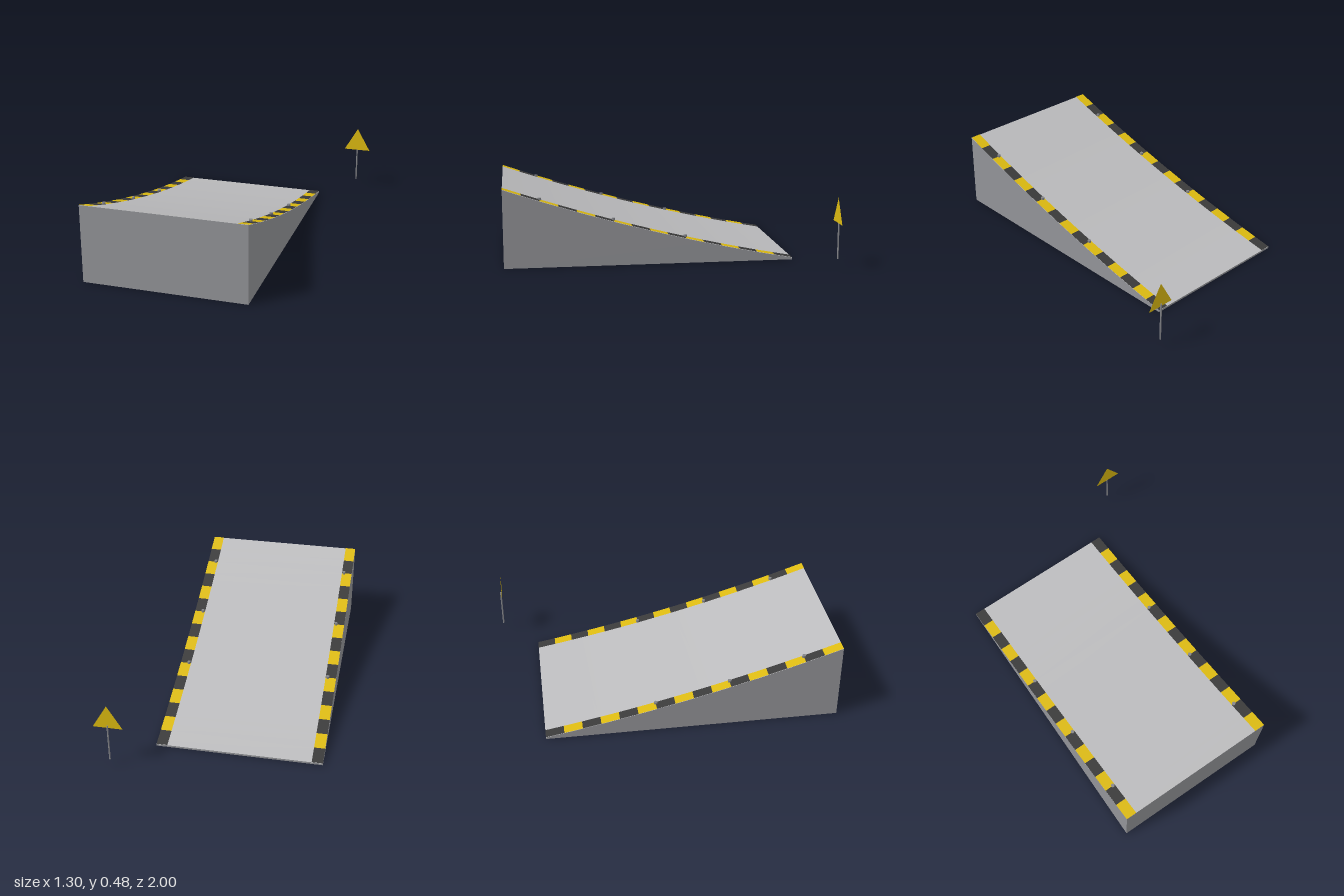
import * as THREE from 'three';

const mat = (name, color, side = THREE.FrontSide) => {
  const m = new THREE.MeshStandardMaterial({ color, side });
  m.name = name;
  return m;
};

const Z0 = -0.772, Z1 = 1, CX = -0.155, HALF = 0.498, STRIPES = 16, BAND = 0.066;

// Height of the gently curved ramp surface at depth z
const height = (z) => {
  const t = (z - Z0) / (Z1 - Z0);
  return 0.012 + 0.317 * t + 0.151 * t * t;
};

// Sheet that follows the ramp surface
function sheet(x0, x1, z0, z1, segments, lift) {
  const g = new THREE.PlaneGeometry(x1 - x0, z1 - z0, 1, segments);
  g.rotateX(-Math.PI / 2).translate((x0 + x1) / 2, 0, (z0 + z1) / 2);
  const p = g.attributes.position;
  for (let i = 0; i < p.count; i++) p.setY(i, height(p.getZ(i)) + lift);
  g.computeVertexNormals();
  return g;
}

export function createModel() {
  const deckGrey = mat('deckGrey', 0xbcbcbe, THREE.DoubleSide);
  const wallGrey = mat('wallGrey', 0x939498, THREE.DoubleSide);
  const yellow = mat('warningYellow', 0xdcba10, THREE.DoubleSide);
  const black = mat('stripeBlack', 0x3a3a3a, THREE.DoubleSide);
  const metal = mat('postMetal', 0x85868a);

  const model = new THREE.Group();
  model.name = 'ramp';
  const add = (name, geometry, material, x = 0, y = 0, z = 0) => {
    const m = new THREE.Mesh(geometry, material);
    m.name = name;
    m.position.set(x, y, z);
    model.add(m);
  };

  // Curved deck, open underneath
  add('deck', sheet(CX - HALF, CX + HALF, Z0, Z1, STRIPES, 0), deckGrey);

  // Tall front wall and the low lip at the back
  for (const [name, z] of [['frontWall', Z1], ['backLip', Z0]]) {
    const h = height(z);
    add(name, new THREE.PlaneGeometry(HALF * 2, h), wallGrey, CX, h / 2, z);
  }

  // Side walls, cut to the deck curve
  const profile = new THREE.Shape().moveTo(Z1, 0);
  for (let i = 0; i <= STRIPES; i++) {
    const z = Z1 + (Z0 - Z1) * i / STRIPES;
    profile.lineTo(z, height(z));
  }
  profile.lineTo(Z0, 0);

  const step = (Z1 - Z0) / STRIPES;
  for (const side of [-1, 1]) {
    const label = side < 0 ? 'right' : 'left';
    const wall = new THREE.ShapeGeometry(profile).rotateY(-Math.PI / 2);
    if (side > 0) {
      // Turn the faces outwards on the +x side
      const index = wall.index;
      for (let i = 0; i < index.count; i += 3) {
        const a = index.getX(i);
        index.setX(i, index.getX(i + 1));
        index.setX(i + 1, a);
      }
      wall.computeVertexNormals();
    }
    add(label + 'Wall', wall, wallGrey, CX + side * HALF);

    // Alternating warning stripes along the edge
    const outer = CX + side * HALF, inner = outer - side * BAND;
    for (let i = 0; i < STRIPES; i++) {
      const z = Z0 + i * step;
      add(label + 'Stripe', sheet(Math.min(outer, inner), Math.max(outer, inner), z, z + step, 1, 0.002),
        i % 2 ? yellow : black);
    }

    // Support posts that poke through the deck
    for (const k of [0.375, 0.625, 0.875]) {
      const z = Z0 + k * (Z1 - Z0), top = height(z) + 0.014, bottom = 0.02;
      add(label + 'SupportPost', new THREE.CylinderGeometry(0.011, 0.011, top - bottom, 8), metal,
        CX + side * 0.445, (top + bottom) / 2, z);
    }
  }

  // Warning sign beside the low end
  add('signPost', new THREE.CylinderGeometry(0.005, 0.005, 0.243, 8), metal, 0.563, 0.1685, -0.995);
  const triangle = new THREE.Shape().moveTo(-0.088, 0).lineTo(0.088, 0).lineTo(0, 0.153);
  add('signPlate', new THREE.ShapeGeometry(triangle), yellow, 0.563, 0.27, -0.989);

  return model;
}
